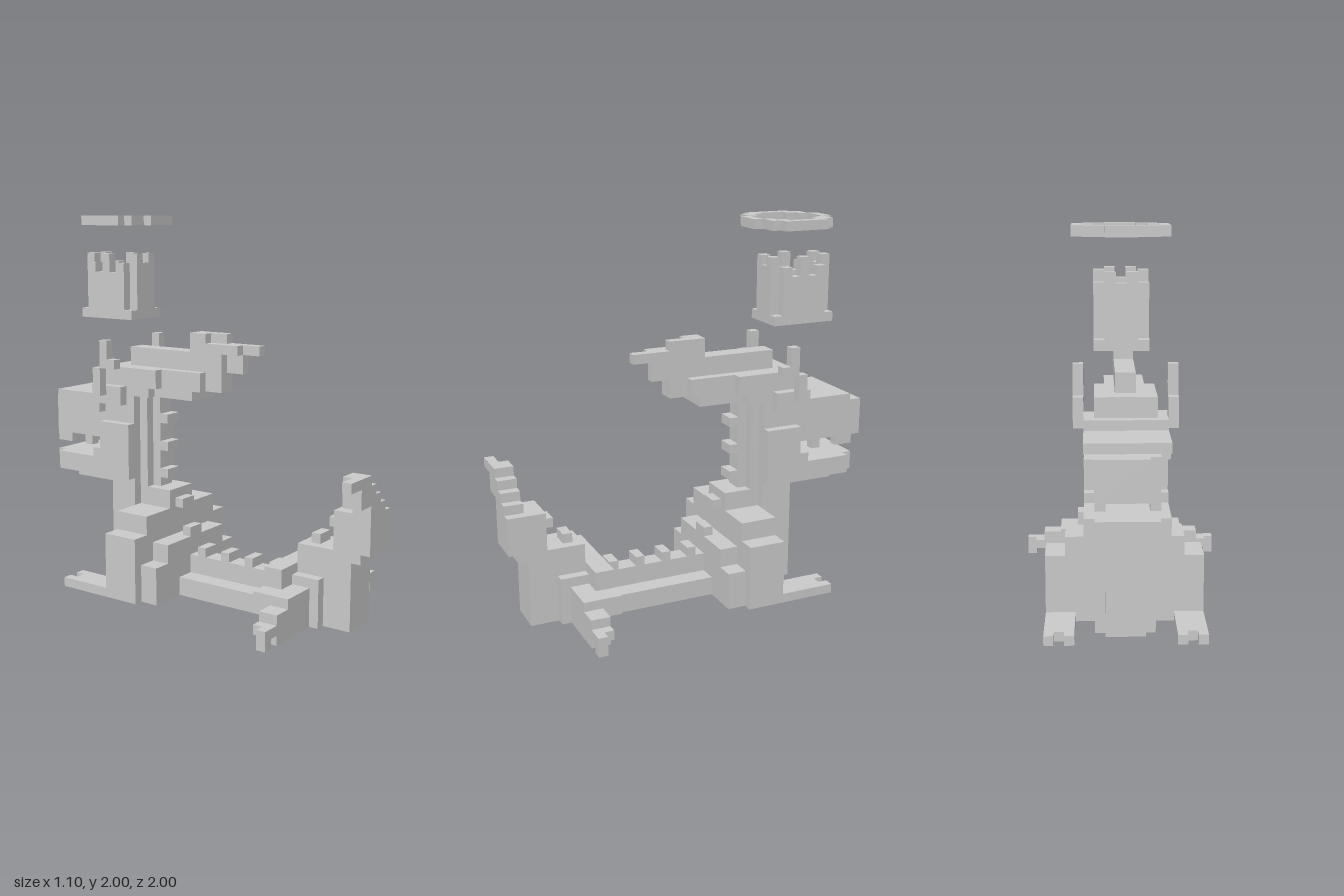
import * as THREE from 'three';

const stone = new THREE.MeshStandardMaterial({ color: 0xcccccc });
stone.name = 'stone grey';

export function createModel() {
  const model = new THREE.Group();
  model.name = 'blockDragon';

  const part = (name) => {
    const g = new THREE.Group();
    g.name = name;
    model.add(g);
    return g;
  };
  // One block given by its limits on each axis
  const box = (g, x0, x1, y0, y1, z0, z1) => {
    const m = new THREE.Mesh(new THREE.BoxGeometry(x1 - x0, y1 - y0, z1 - z0), stone);
    m.position.set((x0 + x1) / 2, (y0 + y1) / 2, (z0 + z1) / 2);
    m.name = g.name + 'Block';
    g.add(m);
  };
  // Block centred on x = 0
  const mid = (g, w, ...r) => box(g, -w, w, ...r);
  // Block on both sides
  const pair = (g, x0, x1, ...r) => {
    box(g, x0, x1, ...r);
    box(g, -x1, -x0, ...r);
  };

  // Body
  const body = part('body');
  mid(body, 0.15, 0, 0.1, -0.4, 0.6);
  mid(body, 0.05, 0.1, 0.2, -0.2, 0.65);

  // Spine bumps along the back and neck
  const spine = part('spineBumps');
  for (const z of [-0.05, 0.1, 0.25, 0.4]) mid(spine, 0.05, 0.2, 0.25, z, z + 0.05);
  for (const y of [0.6, 0.75, 0.9]) mid(spine, 0.05, y, y + 0.05, -0.3, -0.25);
  mid(spine, 0.05, 0.3, 0.35, -0.15, -0.1);
  mid(spine, 0.05, 0.45, 0.5, -0.2, -0.15);
  mid(spine, 0.05, 0.4, 0.45, 0.65, 0.7);
  mid(spine, 0.05, 0.5, 0.55, 0.75, 0.8);

  // Tail, rising and then stepping sideways
  const tail = part('tail');
  mid(tail, 0.1, 0, 0.3, 0.5, 0.9);
  mid(tail, 0.1, 0.3, 0.4, 0.6, 0.9);
  mid(tail, 0.1, 0.35, 0.6, 0.8, 0.95);
  const steps = [
    [0.05, 0.1, 0.4, 0.6], [0, 0.05, 0.4, 0.65], [-0.05, 0, 0.4, 0.7],
    [-0.1, -0.05, 0.4, 0.75], [-0.2, -0.1, 0.65, 0.8],
  ];
  for (const s of steps) box(tail, ...s, 0.9, 1);
  box(tail, -0.3, -0.2, 0.75, 0.8, 0.95, 1);

  // Rear legs and claws
  const rear = part('rearLegs');
  pair(rear, 0.1, 0.35, 0.1, 0.2, 0.5, 0.6);
  pair(rear, 0.1, 0.35, 0, 0.2, 0.6, 0.7);
  pair(rear, 0.1, 0.15, 0, 0.25, 0.5, 0.75);
  pair(rear, 0.1, 0.25, 0.2, 0.3, 0.5, 0.6);
  pair(rear, 0.35, 0.45, 0, 0.15, 0.6, 0.7);
  pair(rear, 0.45, 0.5, 0.05, 0.1, 0.6, 0.7);
  pair(rear, 0.5, 0.55, 0, 0.1, 0.65, 0.7);

  // Shoulders and front legs
  const front = part('frontLegs');
  mid(front, 0.4, 0, 0.35, -0.4, -0.2);
  mid(front, 0.3, 0.35, 0.45, -0.4, -0.2);
  mid(front, 0.35, 0, 0.2, -0.2, -0.1);
  mid(front, 0.25, 0.2, 0.3, -0.2, -0.1);
  pair(front, 0.25, 0.4, 0, 0.05, -0.6, -0.4);
  pair(front, 0.25, 0.3, 0, 0.05, -0.7, -0.6);
  pair(front, 0.3, 0.35, 0, 0.05, -0.65, -0.6);
  pair(front, 0.35, 0.4, 0, 0.05, -0.7, -0.6);

  // Chest and neck
  const neck = part('neck');
  mid(neck, 0.15, 0, 0.6, -0.55, -0.4);
  mid(neck, 0.1, 0, 0.6, -0.6, -0.55);
  mid(neck, 0.1, 0.45, 0.55, -0.35, -0.2);
  mid(neck, 0.05, 0.55, 1.05, -0.35, -0.3);
  mid(neck, 0.1, 0.45, 1.05, -0.4, -0.35);
  mid(neck, 0.15, 0.6, 1.05, -0.6, -0.4);

  // Lower jaw
  const jaw = part('lowerJaw');
  mid(jaw, 0.2, 0.6, 0.7, -0.9, -0.4);
  mid(jaw, 0.15, 0.6, 0.7, -0.95, -0.9);
  mid(jaw, 0.1, 0.55, 0.6, -0.85, -0.6);
  pair(jaw, 0.15, 0.2, 0.7, 0.75, -0.65, -0.6);

  // Skull and upper jaw
  const head = part('head');
  mid(head, 0.2, 0.7, 0.9, -0.6, -0.4);
  mid(head, 0.15, 0.8, 1, -0.95, -0.55);
  box(head, -0.1, 0.15, 0.8, 1, -1, -0.95);
  mid(head, 0.15, 1, 1.05, -0.9, -0.6);
  pair(head, 0.15, 0.2, 1, 1.05, -0.9, -0.6);
  box(head, -0.2, -0.15, 0.95, 1, -0.8, -0.6);
  mid(head, 0.2, 1, 1.1, -0.65, -0.45);
  mid(head, 0.15, 1.05, 1.2, -0.6, -0.3);

  // Upper teeth
  const teeth = part('teeth');
  pair(teeth, 0.1, 0.15, 0.75, 0.8, -0.75, -0.7);
  pair(teeth, 0.1, 0.15, 0.75, 0.8, -0.95, -0.85);

  // Swept-back crest, longer on its left half
  const crest = part('crest');
  mid(crest, 0.05, 1.1, 1.2, -0.3, 0.1);
  box(crest, 0, 0.05, 1.2, 1.3, -0.5, 0.2);
  box(crest, 0, 0.05, 1.3, 1.35, -0.1, 0.3);
  box(crest, 0, 0.05, 1.35, 1.4, -0.1, 0.1);
  box(crest, -0.05, 0, 1.2, 1.3, -0.5, 0.1);
  box(crest, -0.05, 0, 1.3, 1.35, -0.1, 0.2);
  box(crest, -0.05, 0, 1.35, 1.4, -0.1, 0);
  mid(crest, 0.1, 1.05, 1.1, -0.3, -0.05);
  mid(crest, 0.1, 1.1, 1.2, -0.3, 0);
  mid(crest, 0.15, 1.1, 1.2, -0.35, -0.25);

  // Horns
  const horns = part('horns');
  pair(horns, 0.2, 0.25, 1.05, 1.2, -0.6, -0.55);
  pair(horns, 0.2, 0.25, 1.2, 1.35, -0.55, -0.5);
  pair(horns, 0.2, 0.25, 1.2, 1.25, -0.5, -0.45);

  // Floating crown: square base ring with notched walls
  const crown = part('crown');
  for (const x of [-0.1, 0.1]) {
    box(crown, x, x + 0.05, 1.45, 1.5, -0.8, -0.45);
    [1.75, 1.7, 1.8, 1.7, 1.75].forEach((top, i) =>
      box(crown, x, x + 0.05, 1.5, top, -0.75 + i * 0.05, -0.7 + i * 0.05));
  }
  for (const z of [-0.8, -0.5]) {
    [1.8, 1.75, 1.8].forEach((top, i) =>
      box(crown, -0.05 + i * 0.05, i * 0.05, 1.45, top, z, z + 0.05));
  }

  // Halo: bars of an eight-sided ring
  const halo = part('halo');
  const ring = (i0, i1, j0, j1) =>
    box(halo, i0 * 0.05, i1 * 0.05, 1.95, 2, j0 * 0.05, j1 * 0.05);
  for (const i of [-4, 4]) ring(i, i + 1, -14, -9);
  for (const j of [-16, -8]) ring(-1, 2, j, j + 1);
  for (const j of [-15, -9]) {
    ring(-3, -1, j, j + 1);
    ring(2, 4, j, j + 1);
  }
  for (const j of [-14, -10]) {
    ring(-3, -2, j, j + 1);
    ring(3, 4, j, j + 1);
  }
  return model;
}
